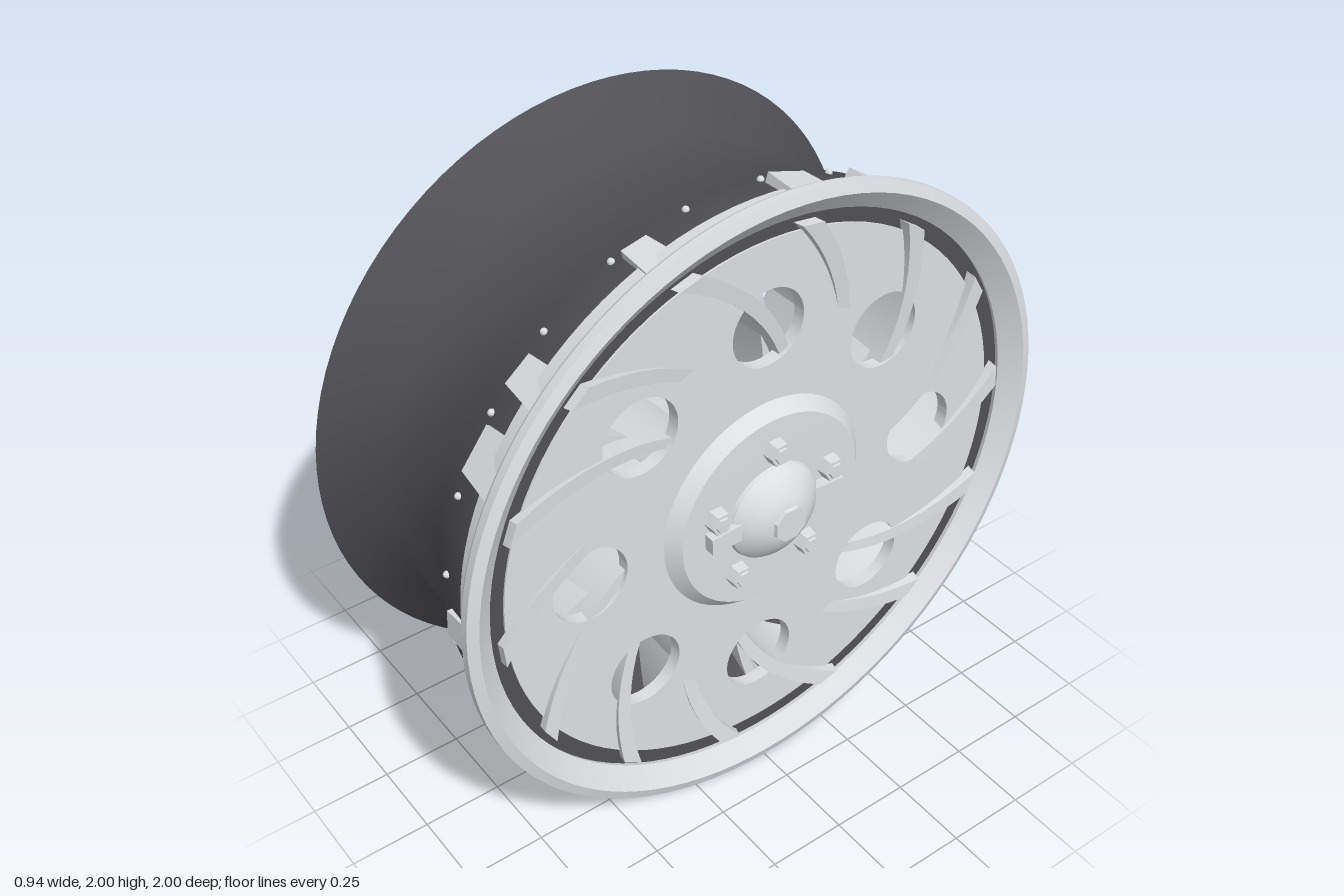
import * as THREE from 'three';
import { toCreasedNormals } from 'three/addons/utils/BufferGeometryUtils.js';

const silver = new THREE.MeshStandardMaterial({ color: 0xdcdee2 });
silver.name = 'silver';
const darkMetal = new THREE.MeshStandardMaterial({ color: 0x504f54, side: THREE.DoubleSide });
darkMetal.name = 'darkMetal';

const rad = THREE.MathUtils.degToRad;

// The wheel is built with its axle along local z, then turned to face +x.
export function createModel() {
  const model = new THREE.Group();
  model.name = 'wheel';
  const wheel = new THREE.Group();
  wheel.name = 'wheelAssembly';
  wheel.rotation.y = Math.PI / 2;
  wheel.position.y = 1;
  model.add(wheel);

  const add = (name, geometry, material = silver) => {
    const mesh = new THREE.Mesh(geometry, material);
    mesh.name = name;
    wheel.add(mesh);
    return mesh;
  };

  // Profile of [axial position, radius] pairs turned around the axle
  const turned = (profile, segments = 96, crease = 0.4) => {
    const g = new THREE.LatheGeometry(profile.map(([z, r]) => new THREE.Vector2(r, z)), segments);
    return toCreasedNormals(g.rotateX(Math.PI / 2), crease);
  };

  // Short prism with its axis along the axle
  const prism = (front, back, depth, sides) => toCreasedNormals(
    new THREE.CylinderGeometry(front, back, depth, sides).rotateX(Math.PI / 2).rotateZ(Math.PI / sides), 0.4);

  // Position on the face: angle clockwise from the top
  const place = (mesh, degrees, r, z) => {
    const a = rad(degrees);
    mesh.position.set(r * Math.sin(a), r * Math.cos(a), z);
    mesh.rotation.z = -a;
    return mesh;
  };

  // Open barrel with its flared back and inner front flange
  add('barrel', turned([
    [-0.47, 0.98], [-0.3, 0.845], [0, 0.845], [0.14, 0.925], [0.27, 0.938],
  ], 96, 1), darkMetal);
  add('barrelFlange', turned([[0.27, 0.938], [0.336, 0.92], [0.336, 0.84]]), darkMetal);

  // Outer lip
  add('outerLip', turned([
    [0.27, 0.925], [0.27, 0.948], [0.32, 0.952], [0.352, 0.995], [0.362, 1],
    [0.388, 1], [0.398, 0.968], [0.35, 0.908], [0.27, 0.925],
  ]));

  // Face disc with eight round holes
  const disc = new THREE.Shape().absarc(0, 0, 0.86, 0, Math.PI * 2);
  for (let i = 0; i < 8; i++) {
    const a = i * Math.PI / 4;
    disc.holes.push(new THREE.Path().absarc(0.59 * Math.sin(a), 0.59 * Math.cos(a), 0.12, 0, Math.PI * 2, true));
  }
  const discGeometry = new THREE.ExtrudeGeometry(disc, { depth: 0.04, bevelEnabled: false, curveSegments: 48 });
  add('faceDisc', toCreasedNormals(discGeometry.translate(0, 0, 0.302), 0.5));

  // Hub drum with chamfered front
  add('hub', turned([
    [-0.12, 0], [-0.12, 0.35], [0.34, 0.35], [0.38, 0.312], [0.385, 0],
  ], 64));

  // Centre dome and its octagonal plug
  add('hubDome', turned([
    [0.38, 0.158], [0.395, 0.153], [0.412, 0.138], [0.43, 0.112], [0.447, 0.085], [0.458, 0.055], [0.46, 0],
  ], 48));
  add('hubPlug', prism(0.055, 0.062, 0.03, 8)).position.z = 0.454;

  // Two wings beside the dome
  for (const side of [-1, 1]) {
    const wing = add('domeWing', new THREE.BoxGeometry(0.11, 0.055, 0.04));
    wing.position.set(side * 0.18, 0, 0.395);
    wing.rotation.z = -side * 0.05;
  }

  // Five hex nuts with raised centres
  const nutGeometry = prism(0.036, 0.04, 0.036, 6);
  const studGeometry = prism(0.024, 0.026, 0.01, 6);
  for (let i = 0; i < 5; i++) {
    place(add('wheelNut', nutGeometry), i * 72, 0.212, 0.398).rotation.z = 0;
    place(add('nutStud', studGeometry), i * 72, 0.212, 0.418).rotation.z = 0;
  }

  // Fourteen spiral fins rising through the disc, with straighter ribs between them behind it
  const fin = finGeometry(65, 0.315, 0.368, 0.012, 0.036);
  const rib = finGeometry(25, 0.28, 0.29, 0.01, 0.02);
  for (let i = 0; i < 14; i++) {
    add('spiralFin', fin).rotation.z = -rad(-18 + i * 360 / 14);
    add('rearRib', rib).rotation.z = -rad(-18 + (i + 0.5) * 360 / 14);
  }

  // Clips of uneven width and spacing around the barrel: [angle, width]
  for (const [angle, width] of [
    [10, 0.16], [27, 0.13], [50, 0.1], [66, 0.06], [82, 0.1], [98, 0.12], [119, 0.1], [150, 0.1],
    [166, 0.1], [203, 0.08], [228, 0.16], [243, 0.12], [267, 0.1], [300, 0.17], [314, 0.12], [340, 0.1],
  ]) place(add('barrelClip', clipGeometry(width)), angle, 0.922, 0.255).rotation.z -= 0.12;

  // Ring of small rivets
  const rivetGeometry = new THREE.SphereGeometry(0.011, 8, 6);
  for (let i = 0; i < 24; i++) place(add('rivet', rivetGeometry), 6 + i * 15, 0.93, 0.172);

  return model;
}

// Small block, narrower at its back end
function clipGeometry(width) {
  const g = new THREE.BoxGeometry(width, 0.055, 0.13);
  const p = g.attributes.position;
  for (let i = 0; i < p.count; i++) if (p.getZ(i) < 0) p.setX(i, p.getX(i) * 0.8);
  g.computeVertexNormals();
  return g;
}

// Upright blade lofted from the hub outwards; curl is in degrees per unit of radius
function finGeometry(curl, frontInner, frontOuter, halfInner, halfOuter) {
  const { lerp } = THREE.MathUtils;
  const steps = 14, positions = [], indices = [];
  for (let i = 0; i <= steps; i++) {
    const t = i / steps;
    const r = lerp(0.33, 0.885, t);
    const front = lerp(frontInner, frontOuter, t), back = 0.17 * t;
    const half = lerp(halfInner, halfOuter, t) / r;
    const angle = rad(curl * (0.885 - r)), lean = rad(3);
    for (const [z, a] of [
      [back, angle - lean - half], [front, angle - half],
      [front, angle + half], [back, angle - lean + half],
    ]) positions.push(r * Math.sin(a), r * Math.cos(a), z);
  }
  for (let i = 0; i < steps; i++) {
    for (let k = 0; k < 4; k++) {
      const a = i * 4 + k, b = i * 4 + (k + 1) % 4;
      indices.push(a, b, b + 4, a, b + 4, a + 4);
    }
  }
  const e = steps * 4;
  indices.push(e, e + 1, e + 2, e, e + 2, e + 3, 2, 1, 0, 3, 2, 0);
  const g = new THREE.BufferGeometry();
  g.setAttribute('position', new THREE.Float32BufferAttribute(positions, 3));
  g.setIndex(indices);
  return toCreasedNormals(g, 0.6);
}
